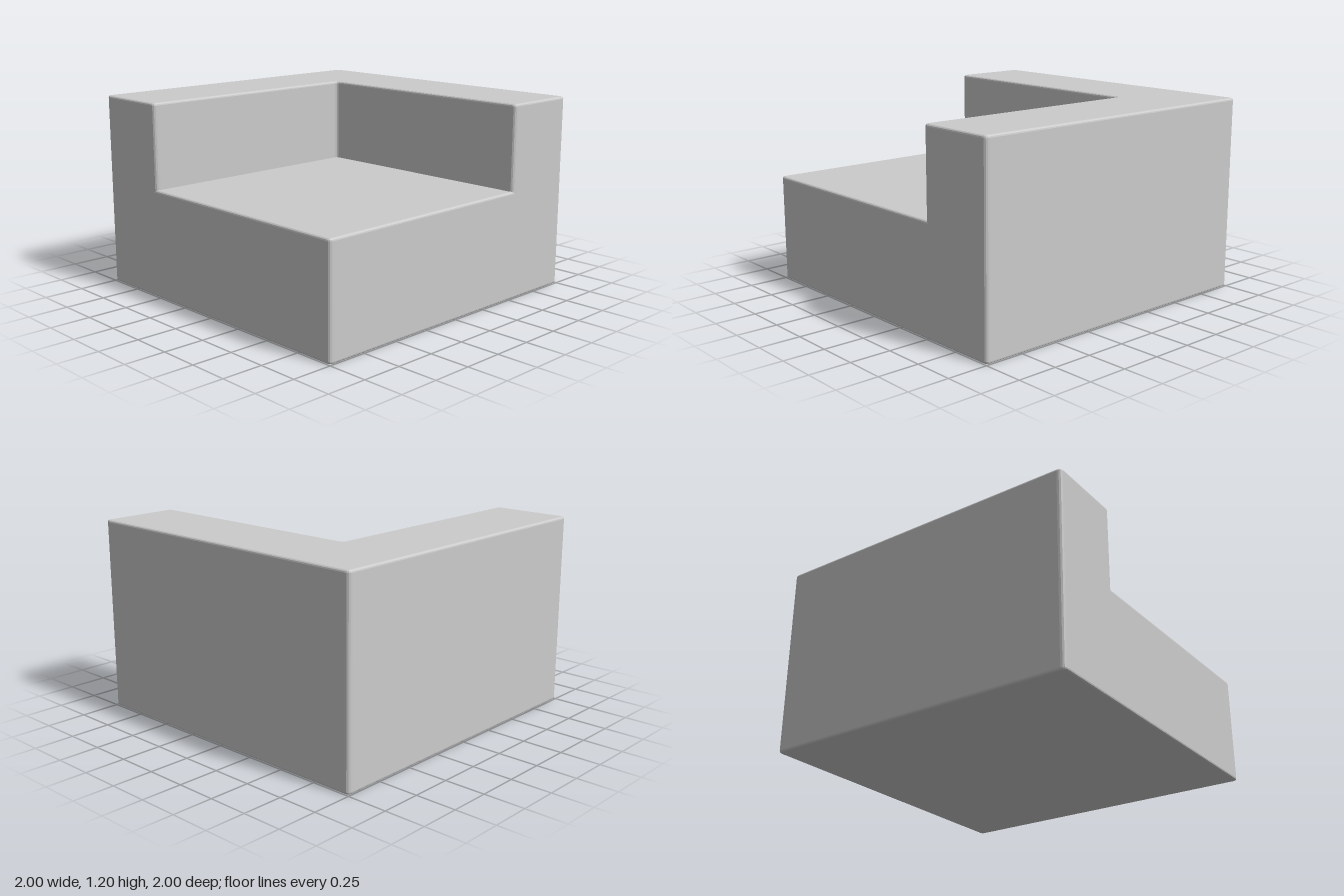
import * as THREE from 'three';

const BEVEL = 0.015;

// Closed outline from [x, z, cornerRadius] points, seen from above
function outline(points) {
  const shape = new THREE.Shape();
  const n = points.length;
  points.forEach(([x, z, r], i) => {
    const corner = new THREE.Vector2(x, -z);
    const toward = ([px, pz]) =>
      new THREE.Vector2(px, -pz).sub(corner).setLength(r).add(corner);
    const a = toward(points[(i + n - 1) % n]);
    const b = toward(points[(i + 1) % n]);
    if (i === 0) shape.moveTo(a.x, a.y);
    else shape.lineTo(a.x, a.y);
    if (r > 0) shape.quadraticCurveTo(corner.x, corner.y, b.x, b.y);
  });
  shape.closePath();
  return shape;
}

// Upright block with softened top and bottom edges
function block(name, points, height) {
  const geometry = new THREE.ExtrudeGeometry(outline(points), {
    depth: height - 2 * BEVEL,
    bevelEnabled: true,
    bevelThickness: BEVEL,
    bevelSize: BEVEL,
    bevelOffset: -BEVEL,
    bevelSegments: 3,
    curveSegments: 4,
  });
  geometry.translate(0, 0, BEVEL);
  geometry.rotateX(-Math.PI / 2);
  const mesh = new THREE.Mesh(geometry, new THREE.MeshStandardMaterial({ color: 0xcccccc }));
  mesh.name = name;
  return mesh;
}

export function createModel() {
  const group = new THREE.Group();
  group.name = 'cornerSofa';
  const r = 0.03;

  // L-shaped backrest and armrest, full height
  group.add(block('backAndArm', [
    [-1, -1, r], [-1, -0.5, r], [0.5, -0.5, r],
    [0.5, 1, r], [1, 1, r], [1, -1, r],
  ], 1.2));

  // Seat, tucked slightly into the back and arm
  group.add(block('seat', [
    [-1, -0.55, 0], [-1, 1, r], [0.55, 1, 0], [0.55, -0.55, 0],
  ], 0.675));

  return group;
}
